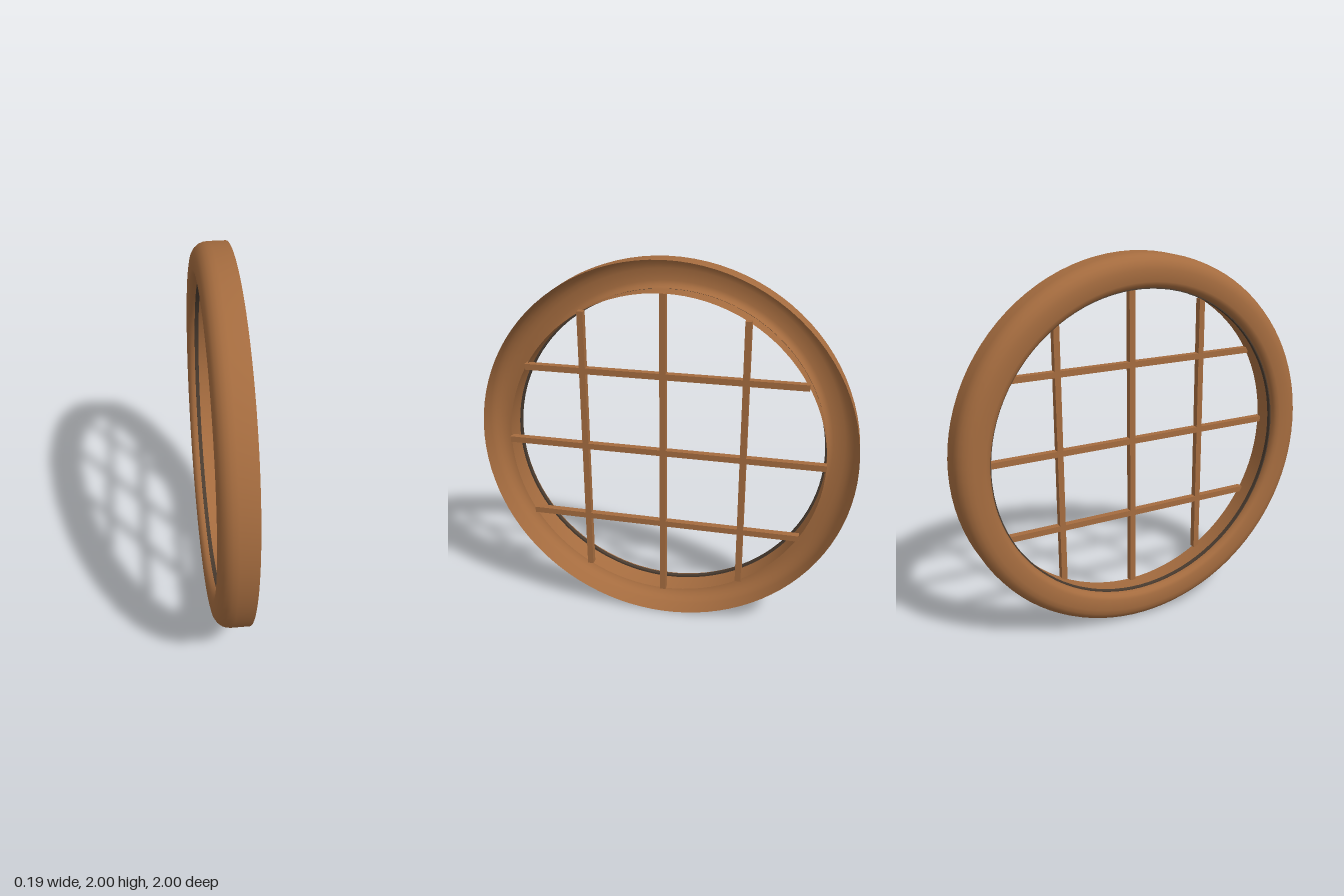
import * as THREE from 'three';
import { toCreasedNormals } from 'three/addons/utils/BufferGeometryUtils.js';

export function createModel() {
  const model = new THREE.Group();
  model.name = 'roundWindow';
  const wood = new THREE.MeshStandardMaterial({ color: 0xa56c3f, side: THREE.DoubleSide });
  wood.name = 'brownWood';
  const dark = new THREE.MeshStandardMaterial({ color: 0x4a3c30, side: THREE.DoubleSide });
  dark.name = 'darkSeal';

  // Turned ring around the x axis from [radius, x] points
  function addRing(name, points, material) {
    const profile = points.map(([r, x]) => new THREE.Vector2(r, x));
    const ring = toCreasedNormals(new THREE.LatheGeometry(profile, 96), 0.7);
    ring.rotateZ(-Math.PI / 2);
    const mesh = new THREE.Mesh(ring, material);
    mesh.name = name;
    mesh.position.y = 1;
    model.add(mesh);
  }

  // Hollow moulding, open on +x, from inner wall round to outer wall
  addRing('frame', [
    [0.84, 0.082], [0.836, -0.03], [0.832, -0.052], [0.836, -0.072],
    [0.847, -0.086], [0.865, -0.093], [0.925, -0.093], [0.95, -0.088],
    [0.972, -0.075], [0.988, -0.056], [0.997, -0.035], [1, -0.01], [1, 0.082],
  ], wood);

  // Thin dark seal inside the opening
  addRing('seal', [[0.836, -0.03], [0.826, -0.03], [0.826, -0.052], [0.833, -0.052]], dark);

  // Glazing bars, each cut to the chord of the opening
  const reach = 0.842, width = 0.032, depth = 0.036, face = 0.093;
  for (const offset of [-0.42, 0, 0.42]) {
    const length = 2 * Math.sqrt(reach * reach - offset * offset);
    const upright = new THREE.Mesh(new THREE.BoxGeometry(depth, length, width), wood);
    upright.name = 'verticalBar';
    upright.position.set(face - depth / 2, 1, offset);
    const crossbar = new THREE.Mesh(new THREE.BoxGeometry(depth, width, length), wood);
    crossbar.name = 'horizontalBar';
    crossbar.position.set(face - depth / 2, 1 + offset, 0);
    model.add(upright, crossbar);
  }
  return model;
}
